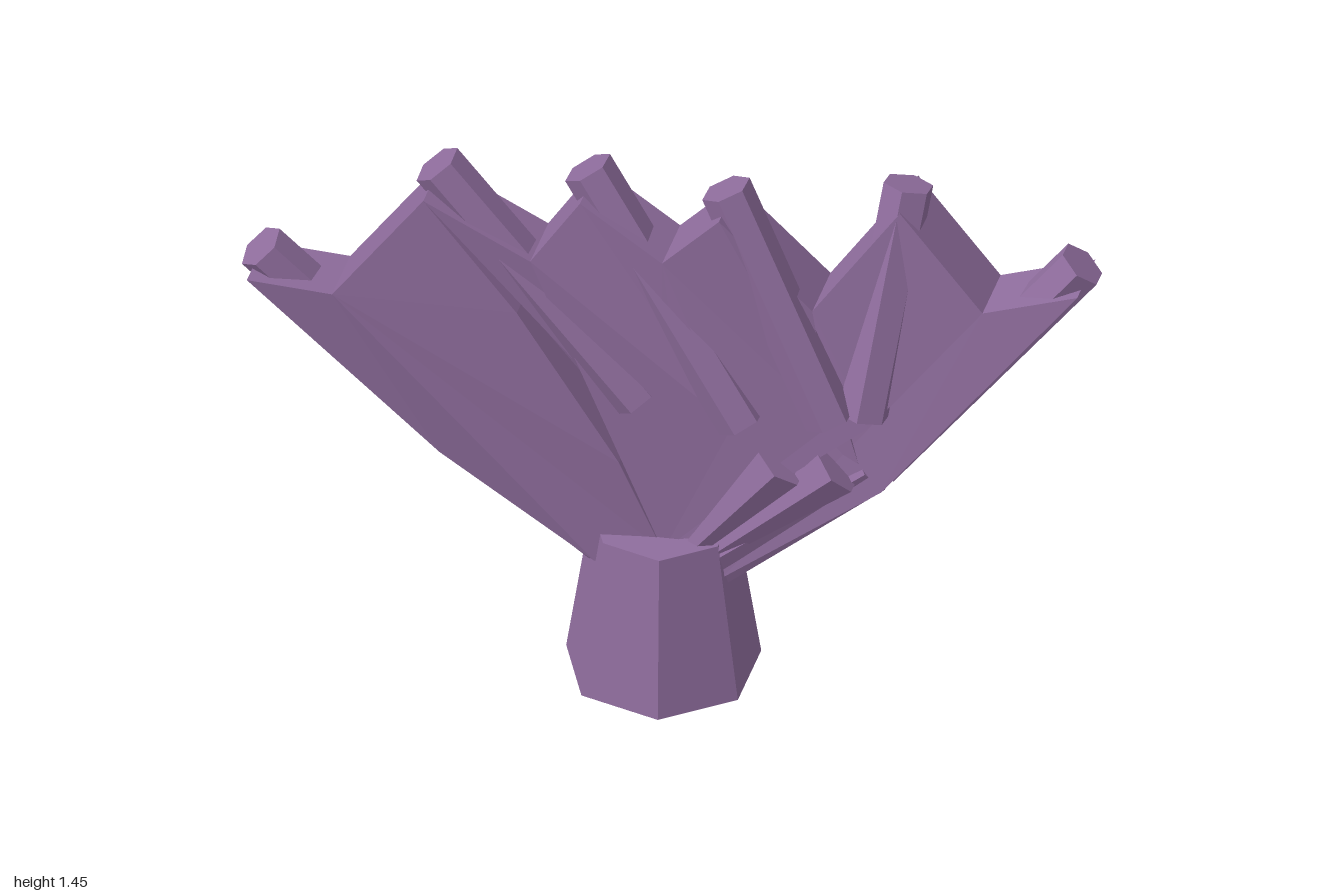
import * as THREE from 'three';

const purple = new THREE.MeshStandardMaterial({ color: 0x8f6d9d, flatShading: true });
const vec = (p) => new THREE.Vector3(...p);

// Tapered prism from point a to point b
function prism(name, a, b, r0, r1, sides = 6) {
  const from = vec(a), to = vec(b), dir = to.clone().sub(from);
  const mesh = new THREE.Mesh(new THREE.CylinderGeometry(r1, r0, dir.length(), sides), purple);
  mesh.position.copy(from).add(to).multiplyScalar(0.5);
  mesh.quaternion.setFromUnitVectors(new THREE.Vector3(0, 1, 0), dir.normalize());
  mesh.name = name;
  return mesh;
}

// Thick folded panel: outline runs clockwise seen from the front, starting at
// its valley; each point is [x, y, z, half thickness]
function web(name, outline) {
  const pos = [];
  const at = (i, side) => {
    const [x, y, z, h = 0.08] = outline[i % outline.length];
    return [x, y, z + side * h];
  };
  const tri = (a, b, c) => pos.push(...a, ...b, ...c);
  for (let i = 1; i < outline.length - 1; i++) {
    tri(at(0, 1), at(i + 1, 1), at(i, 1));
    tri(at(0, -1), at(i, -1), at(i + 1, -1));
  }
  for (let i = 0; i < outline.length; i++) {
    tri(at(i, 1), at(i + 1, 1), at(i + 1, -1));
    tri(at(i, 1), at(i + 1, -1), at(i, -1));
  }
  const geo = new THREE.BufferGeometry();
  geo.setAttribute('position', new THREE.Float32BufferAttribute(pos, 3));
  geo.computeVertexNormals();
  const mesh = new THREE.Mesh(geo, purple);
  mesh.name = name;
  return mesh;
}

export function createModel() {
  const coral = new THREE.Group();
  coral.name = 'fanCoral';

  // Seven-sided stalk
  const stalk = new THREE.Mesh(new THREE.CylinderGeometry(0.174, 0.237, 0.42, 7, 1, false, -Math.PI / 2), purple);
  stalk.position.set(-0.022, 0.21, -0.005);
  stalk.name = 'stalk';
  coral.add(stalk);

  // Upper branches: elbow to tip
  const branches = [
    [[-0.5, 0.645, 0.06], [-0.955, 1.17, 0.19]],
    [[-0.065, 0.81, 0.06], [-0.55, 1.42, 0.09]],
    [[0.19, 0.785, 0.055], [-0.205, 1.415, 0.0]],
    [[0.405, 0.83, 0.05], [0.135, 1.42, 0.0]],
    [[0.475, 0.83, 0.01], [0.54, 1.405, -0.155]],
    [[0.49, 0.635, -0.08], [0.955, 1.22, -0.2]],
  ];
  for (const [elbow, tip] of branches) coral.add(prism('upperBranch', elbow, tip, 0.062, 0.062));

  // Lower branches: stalk to elbow, with start and end radius
  const lower = [
    [[-0.13, 0.35, 0.01], [-0.47, 0.625, 0.05], 0.08, 0.075],
    [[-0.03, 0.4, -0.06], [-0.07, 0.82, -0.07], 0.04, 0.065],
    [[0.05, 0.37, 0.06], [0.28, 0.67, 0.03], 0.02, 0.07],
    [[0.09, 0.36, 0.05], [0.41, 0.66, 0.0], 0.02, 0.07],
    [[0.1, 0.35, -0.01], [0.47, 0.635, -0.08], 0.09, 0.08],
  ];
  for (const [a, b, r0, r1] of lower) coral.add(prism('lowerBranch', a, b, r0, r1));

  // Wedge behind the right elbows
  coral.add(web('rearWedge', [[0.3, 0.77, -0.07, 0.06], [0.42, 0.8, -0.08, 0.07],
    [0.46, 0.66, -0.08, 0.07], [0.08, 0.36, -0.03, 0.04], [0.0, 0.38, -0.03, 0.04], [0.13, 0.78, -0.06, 0.06]]));

  // Webbing between neighbouring branches
  const base = [0, 0.38, 0, 0.07];
  const peakB = [-0.56, 1.37, 0.095], peakC = [-0.2, 1.37, 0.005];
  const peakD = [0.14, 1.38, 0], peakE = [0.54, 1.37, -0.16];
  const elbowB = [-0.1, 0.78, 0.01, 0.07], elbowC = [0.17, 0.78, 0, 0.07];
  const elbowD = [0.41, 0.82, -0.02, 0.07], elbowE = [0.49, 0.8, -0.06, 0.08];
  coral.add(
    web('webOne', [[-0.77, 1.09, 0.145], peakB, [-0.34, 1.06, 0.06], [-0.1, 0.64, 0.03, 0.07], base,
      [-0.16, 0.34, 0.02], [-0.53, 0.615, 0.06], [-0.965, 1.13, 0.197]]),
    web('webTwo', [[-0.31, 1.21, 0.05], peakC, elbowC, base, elbowB, peakB]),
    web('webThree', [[0, 1.23, 0], peakD, elbowD, base, elbowC, peakC]),
    web('webFour', [[0.35, 1.11, -0.07], peakE, elbowE, base, elbowD, peakD]),
    web('webFive', [[0.74, 1.11, -0.17], [0.965, 1.18, -0.198], [0.515, 0.6, -0.085],
      [0.14, 0.32, -0.02, 0.08], base, elbowE, peakE]),
  );
  return coral;
}
